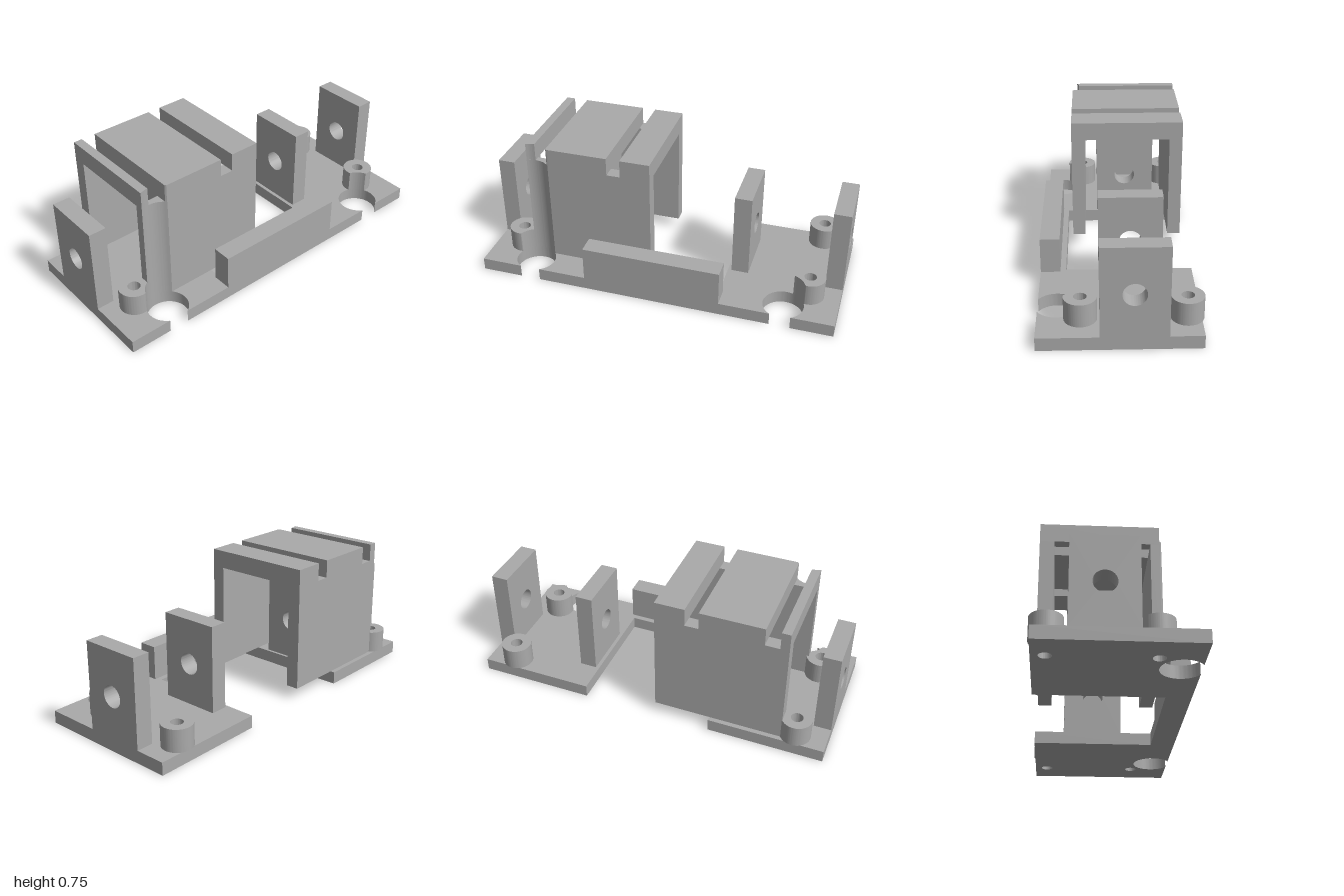
import * as THREE from 'three';
import { toCreasedNormals } from 'three/addons/utils/BufferGeometryUtils.js';

const NOTCH = { x: 0.713, z: 0.315, r: 0.11 };
const SCREW_X = 0.83, SCREW_Z = [0.195, -0.33], SCREW_R = 0.033;

export function createModel() {
  const model = new THREE.Group();
  model.name = 'mountingBracket';
  const grey = new THREE.MeshStandardMaterial({ color: 0xaaaaaa });
  grey.name = 'grey';

  const add = (name, geometry) => {
    const mesh = new THREE.Mesh(geometry, grey);
    mesh.name = name;
    model.add(mesh);
  };
  const extrude = (shape, depth) => toCreasedNormals(
    new THREE.ExtrudeGeometry(shape, { depth, bevelEnabled: false, curveSegments: 40 }), 0.5);
  // Plan outline (x, -z) raised from y0 to y1
  const plan = (name, shape, y0, y1) =>
    add(name, extrude(shape, y1 - y0).rotateX(-Math.PI / 2).translate(0, y0, 0));
  const hole = (shape, x, y, r) =>
    shape.holes.push(new THREE.Path().absarc(x, y, r, 0, Math.PI * 2, true));

  // Base plate: U outline with two open round notches in the front edge
  const base = new THREE.Shape();
  base.moveTo(-1, 0.4);
  base.lineTo(-1, -0.41);
  const a = Math.asin((0.41 - NOTCH.z) / NOTCH.r);
  for (const s of [-1, 1]) base.absarc(s * NOTCH.x, -NOTCH.z, NOTCH.r, Math.PI + a, -a, true);
  [[1, -0.41], [1, 0.4], [0.36, 0.4], [0.36, -0.275], [-0.365, -0.275], [-0.365, 0.4]]
    .forEach(([x, v]) => base.lineTo(x, v));
  for (const s of [-1, 1]) for (const z of SCREW_Z) hole(base, s * SCREW_X, -z, SCREW_R);
  plan('basePlate', base, 0, 0.07);

  // Front rail
  add('frontRail', new THREE.BoxGeometry(0.765, 0.195, 0.105).translate(-0.0025, 0.1675, 0.3575));

  // Screw bosses, the front ones scooped out by the notches
  for (const s of [-1, 1]) for (const z of SCREW_Z) {
    const points = [];
    for (let i = 0; i < 128; i++) {
      const t = i / 128 * Math.PI * 2;
      const p = new THREE.Vector2(s * SCREW_X + 0.083 * Math.cos(t), -z + 0.083 * Math.sin(t));
      const centre = new THREE.Vector2(s * NOTCH.x, -NOTCH.z);
      const out = p.clone().sub(centre);
      if (out.length() < NOTCH.r) p.copy(centre).add(out.setLength(NOTCH.r));
      points.push(p);
    }
    const boss = new THREE.Shape(points);
    hole(boss, s * SCREW_X, -z, SCREW_R);
    plan('screwBoss', boss, 0.07, 0.193);
  }

  // Upright lugs with a cross hole
  const lug = new THREE.Shape();
  lug.moveTo(-0.102, 0.07);
  lug.lineTo(0.231, 0.07);
  lug.lineTo(0.231, 0.549);
  lug.lineTo(-0.102, 0.549);
  hole(lug, 0.064, 0.301, 0.059);
  for (const x of [-1, -0.475, 0.38, 0.905])
    add('uprightLug', extrude(lug, 0.095).rotateY(Math.PI / 2).translate(x, 0, 0));

  // Slab whose front edge follows the round notch
  const frontEdge = (x, z) => {
    const d = NOTCH.r ** 2 - (x + NOTCH.x) ** 2;
    return d > 0 ? Math.min(z, NOTCH.z - Math.sqrt(d)) : z;
  };
  const slab = (name, x0, x1, z0, z1, y0, y1) => {
    const shape = new THREE.Shape();
    shape.moveTo(x1, -z0);
    shape.lineTo(x0, -z0);
    const n = 160;
    for (let i = 0; i <= n; i++) {
      const x = x0 + (x1 - x0) * i / n;
      shape.lineTo(x, -frontEdge(x, z1));
    }
    plan(name, shape, y0, y1);
  };

  // Housing: two side walls and a roof broken by two cross slots
  const roofY = 0.655;
  slab('housingFrontWall', -0.763, -0.05, 0.172, 0.243, 0.07, roofY);
  add('housingBackWall', new THREE.BoxGeometry(0.713, roofY - 0.07, 0.072)
    .translate(-0.4065, (roofY + 0.07) / 2, -0.339));
  for (const [x0, x1] of [[-0.763, -0.715], [-0.637, -0.29], [-0.215, -0.05]])
    slab('housingRoof', x0, x1, -0.375, 0.243, roofY, 0.754);

  return model;
}
